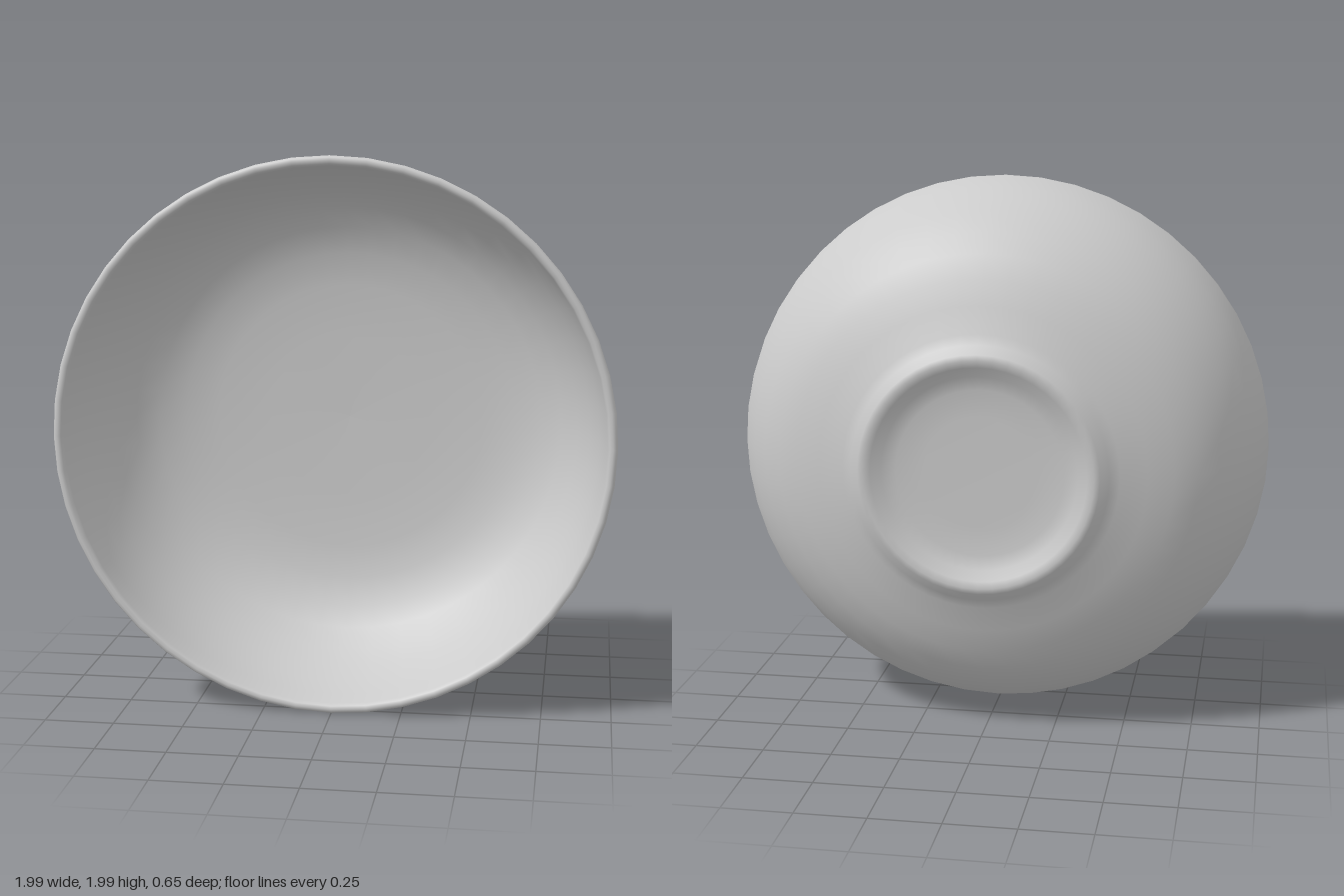
import * as THREE from 'three';

// Outer profile as [radius, depth]: foot recess, foot ring, then the wall up to the rim
const outer = [
  [0, -0.275], [0.2, -0.275], [0.3, -0.28], [0.35, -0.295], [0.385, -0.318], [0.41, -0.325], [0.43, -0.32],
  [0.46, -0.295], [0.495, -0.275], [0.59, -0.245], [0.68, -0.21], [0.76, -0.168], [0.83, -0.105],
  [0.89, -0.03], [0.935, 0.05], [0.967, 0.13], [0.985, 0.21], [0.995, 0.285],
];
// Rounded lip, then the inside wall down to the flat floor
const inner = [
  [0.996, 0.3], [0.99, 0.309], [0.98, 0.312], [0.968, 0.309], [0.961, 0.295],
  [0.952, 0.22], [0.932, 0.13], [0.9, 0.05], [0.855, -0.03], [0.795, -0.1],
  [0.72, -0.15], [0.62, -0.185], [0.5, -0.205], [0.3, -0.215], [0, -0.22],
];

export function createModel() {
  const group = new THREE.Group();
  group.name = 'bowl';

  const profile = [...outer, ...inner].map(([r, d]) => new THREE.Vector2(r, d));
  const geometry = new THREE.LatheGeometry(profile, 48);
  geometry.rotateX(Math.PI / 2); // opening faces +z

  // The rim plane leans slightly, fading out towards the foot
  const p = geometry.attributes.position;
  for (let i = 0; i < p.count; i++) {
    const x = p.getX(i), y = p.getY(i), z = p.getZ(i);
    const fade = THREE.MathUtils.smoothstep(z, -0.2, 0.3);
    p.setZ(i, z + fade * (0.013 * y - 0.007 * x));
  }
  geometry.translate(0, 1, 0);

  const bowl = new THREE.Mesh(geometry, new THREE.MeshStandardMaterial({ color: 0xcccccc }));
  bowl.name = 'bowlShell';
  group.add(bowl);
  return group;
}
